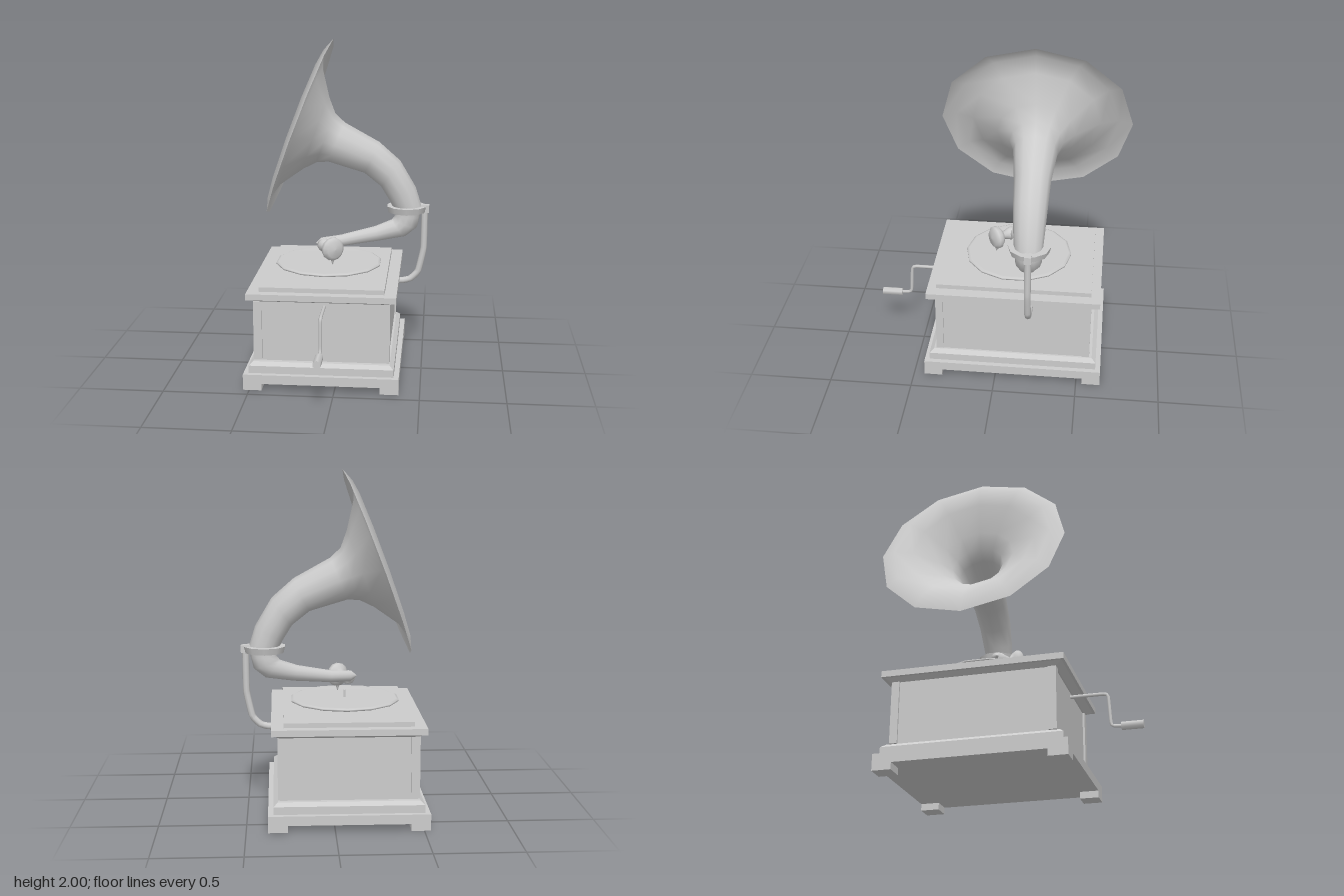
import * as THREE from 'three';

const CX = -0.08, CZ = -0.105; // cabinet centre
const mat = new THREE.MeshStandardMaterial({ color: 0xcccccc });
const open = new THREE.MeshStandardMaterial({ color: 0xcccccc, side: THREE.DoubleSide });

export function createModel() {
  const model = new THREE.Group();

  function add(parent, name, geometry, x = 0, y = 0, z = 0, material = mat) {
    const mesh = new THREE.Mesh(geometry, material);
    mesh.name = name;
    mesh.position.set(x, y, z);
    parent.add(mesh);
    return mesh;
  }

  function group(name) {
    const g = new THREE.Group();
    g.name = name;
    model.add(g);
    return g;
  }

  // Rectangular slab whose top may be smaller or larger than its bottom
  function slab(parent, name, y0, y1, hx, hz, topX = hx, topZ = hz) {
    const geo = new THREE.BoxGeometry(2, y1 - y0, 2).toNonIndexed();
    const p = geo.attributes.position;
    for (let i = 0; i < p.count; i++) {
      const top = p.getY(i) > 0;
      p.setX(i, p.getX(i) * (top ? topX : hx));
      p.setZ(i, p.getZ(i) * (top ? topZ : hz));
    }
    geo.computeVertexNormals();
    return add(parent, name, geo, CX, (y0 + y1) / 2, CZ);
  }

  // Smooth skin through circular rings [x, y, z, radius, tilt in degrees]
  function skin(rings, sides) {
    const pos = [], index = [];
    rings.forEach(([x, y, z, r, tilt], k) => {
      const a = THREE.MathUtils.degToRad(tilt);
      for (let i = 0; i < sides; i++) {
        const t = (i / sides) * Math.PI * 2, u = r * Math.cos(t);
        pos.push(x + u * Math.sin(a), y + u * Math.cos(a), z + r * Math.sin(t));
        if (k === 0) continue;
        const j = (i + 1) % sides, p = (k - 1) * sides, q = k * sides;
        index.push(p + i, q + i, p + j, p + j, q + i, q + j);
      }
    });
    const geo = new THREE.BufferGeometry();
    geo.setAttribute('position', new THREE.Float32BufferAttribute(pos, 3));
    geo.setIndex(index);
    geo.computeVertexNormals();
    return geo;
  }

  // Rod along a short list of points
  function rod(points, radius, segments, sides) {
    const curve = new THREE.CatmullRomCurve3(points.map(p => new THREE.Vector3(...p)), false, 'catmullrom', 0.2);
    return new THREE.TubeGeometry(curve, segments, radius, sides);
  }

  // Cabinet: stacked plinth, panelled body and lid
  const cabinet = group('cabinet');
  slab(cabinet, 'plinth', 0.04, 0.095, 0.457, 0.54);
  slab(cabinet, 'plinthStep', 0.095, 0.14, 0.427, 0.51);
  slab(cabinet, 'plinthBevel', 0.14, 0.16, 0.427, 0.51, 0.402, 0.485);
  slab(cabinet, 'body', 0.16, 0.53, 0.39, 0.457);
  slab(cabinet, 'lidMoulding', 0.525, 0.547, 0.392, 0.465, 0.42, 0.505);
  slab(cabinet, 'lid', 0.547, 0.583, 0.437, 0.52);
  slab(cabinet, 'lidTop', 0.583, 0.61, 0.367, 0.465);
  for (const sx of [-1, 1]) {
    for (const sz of [-1, 1]) {
      add(cabinet, 'foot', new THREE.BoxGeometry(0.11, 0.04, 0.11), CX + sx * 0.402, 0.02, CZ + sz * 0.485);
      add(cabinet, 'cornerPost', new THREE.BoxGeometry(0.05, 0.36, 0.045), CX + sx * 0.376, 0.345, CZ + sz * 0.4465);
    }
  }

  // Turntable with record and spindle
  const turntable = group('turntable');
  const discProfile = [[0, 0.634], [0.31, 0.634], [0.325, 0.639], [0.325, 0.648], [0.31, 0.655], [0.3, 0.65], [0, 0.65]]
    .map(p => new THREE.Vector2(...p));
  add(turntable, 'record', new THREE.LatheGeometry(discProfile, 14), CX, 0, CZ);
  add(turntable, 'hub', new THREE.CylinderGeometry(0.05, 0.05, 0.03, 12), CX, 0.622, CZ);
  add(turntable, 'spindle', new THREE.CylinderGeometry(0.007, 0.007, 0.08, 8), CX, 0.655, CZ);

  // Winding crank on the front
  const crank = group('crank');
  add(crank, 'crankRod', rod([[-0.063, 0.5, 0.34], [-0.063, 0.5, 0.54], [-0.063, 0.485, 0.57], [-0.063, 0.33, 0.58],
    [-0.063, 0.305, 0.59], [-0.063, 0.3, 0.65]], 0.01, 28, 6), 0, 0, 0, open);
  const handle = add(crank, 'crankHandle', new THREE.CylinderGeometry(0.025, 0.025, 0.125, 6), -0.063, 0.3, 0.7025);
  handle.rotation.x = Math.PI / 2;

  // Horn: rolled lip, wide bell, curved neck
  const horn = group('horn');
  add(horn, 'bellAndNeck', skin([
    [-0.26, 1.465, -0.19, 0.572, 20.5],
    [-0.287, 1.474, -0.19, 0.49, 20],
    [-0.257, 1.465, -0.19, 0.384, 20.2],
    [-0.165, 1.427, -0.195, 0.235, 20],
    [-0.105, 1.4, -0.2, 0.162, 20],
    [-0.04, 1.373, -0.2, 0.132, 22],
    [0.175, 1.282, -0.2, 0.107, 25],
    [0.29, 1.185, -0.2, 0.1, 36],
    [0.365, 1.06, -0.2, 0.091, 62],
    [0.402, 0.965, -0.2, 0.083, 78],
  ], 12), 0, 0, 0, open);

  // Tone arm curving down and forward from the neck
  const arm = group('toneArm');
  add(arm, 'armTube', skin([
    [0.402, 0.965, -0.2, 0.076, 80],
    [0.398, 0.92, -0.2, 0.075, 92],
    [0.383, 0.878, -0.2, 0.079, 112],
    [0.345, 0.845, -0.193, 0.067, 142],
    [0.21, 0.812, -0.165, 0.048, 168],
    [0, 0.778, -0.11, 0.036, 171],
    [-0.12, 0.77, -0.07, 0.033, 175],
    [-0.155, 0.77, -0.06, 0.002, 175],
  ], 12), 0, 0, 0, open);

  // Sound box at the end of the arm, turned towards the front left
  const soundBox = group('soundBox');
  soundBox.position.set(-0.045, 0.76, 0.03);
  soundBox.rotation.y = 0.62;
  const drumProfile = [[0, -0.13], [0.036, -0.125], [0.042, -0.1], [0.034, -0.08], [0.022, -0.045], [0.05, -0.03],
    [0.07, -0.01], [0.07, 0.012], [0.05, 0.03], [0, 0.036]].map(p => new THREE.Vector2(...p));
  add(soundBox, 'drum', new THREE.LatheGeometry(drumProfile, 14), 0, 0, 0, open).rotation.x = Math.PI / 2;
  add(soundBox, 'needle', new THREE.CylinderGeometry(0.016, 0.001, 0.045, 8), 0, 0.683 - 0.76, 0);

  // Collar and bracket holding the horn behind the cabinet
  const support = group('hornSupport');
  add(support, 'collar', new THREE.CylinderGeometry(0.125, 0.115, 0.038, 10), 0.392, 0.965, -0.205);
  add(support, 'collarTip', new THREE.BoxGeometry(0.06, 0.045, 0.04), 0.5, 0.967, -0.205);
  add(support, 'bracket', rod([[0.503, 0.97, -0.205], [0.5, 0.72, -0.205], [0.483, 0.63, -0.205], [0.465, 0.56, -0.205],
    [0.42, 0.515, -0.205], [0.37, 0.502, -0.205], [0.3, 0.502, -0.205]], 0.02, 24, 8), 0, 0, 0, open);
  return model;
}
